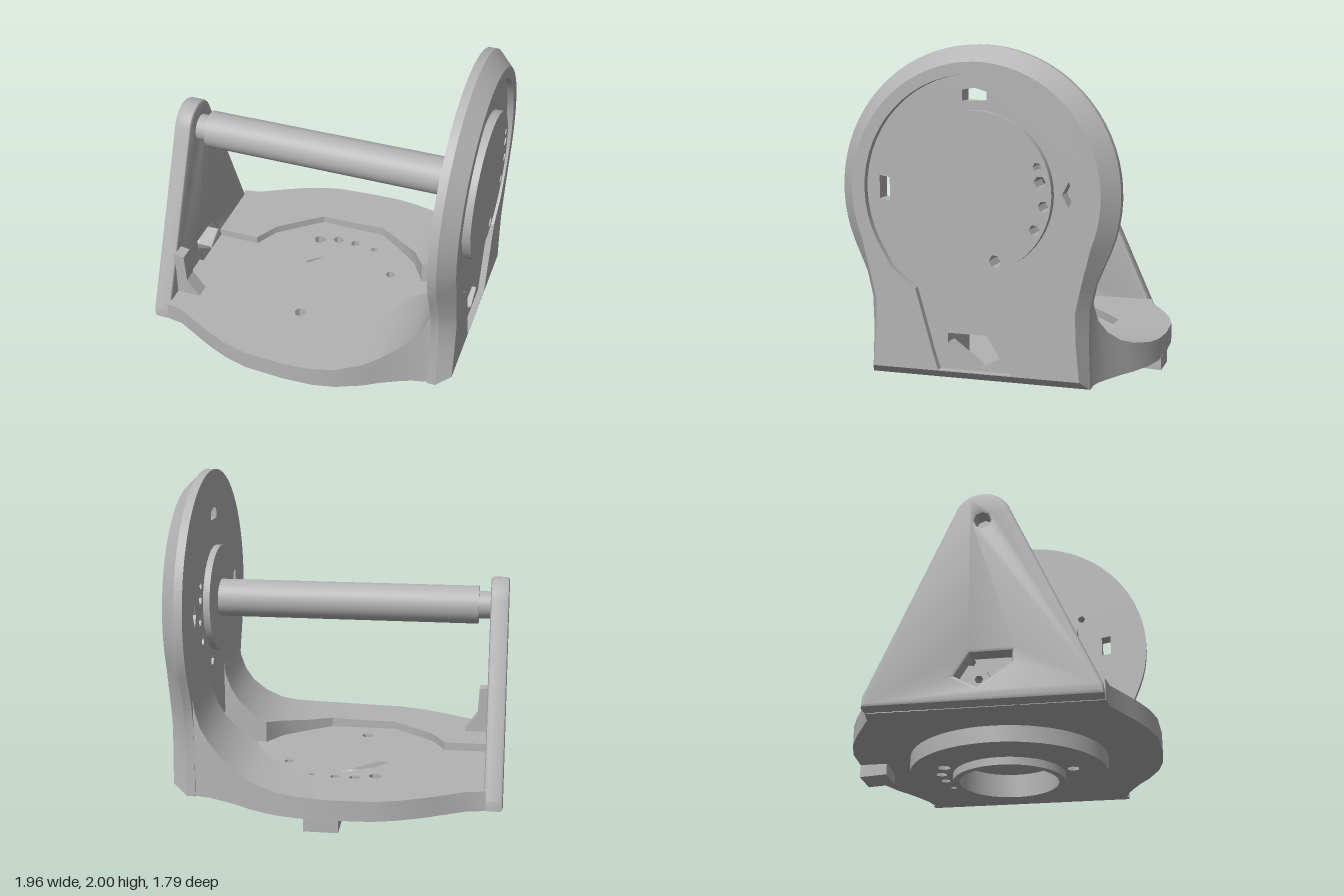
import * as THREE from 'three';
import { toCreasedNormals } from 'three/addons/utils/BufferGeometryUtils.js';

const grey = new THREE.MeshStandardMaterial({ color: 0xb3b3b3 });
grey.name = 'machined grey';

const V = (p) => new THREE.Vector2(p[0], p[1]);

// Regular polygon loop, used for discs and bolt holes
function ring(cx, cy, r, n = 6) {
  return Array.from({ length: n }, (_, i) => {
    const a = (i / n) * Math.PI * 2;
    return [cx + r * Math.cos(a), cy + r * Math.sin(a)];
  });
}

// Right half (bottom to top) completed by its mirror image
function mirrored(half) {
  return [...half, ...half.filter((p) => p[0] > 1e-6).reverse().map(([u, v]) => [-u, v])];
}

// Arc from a start angle up to the top, in degrees
function arc(cy, r, start, n) {
  return Array.from({ length: n + 1 }, (_, i) => {
    const a = THREE.MathUtils.degToRad(start + ((90 - start) * i) / n);
    return [r * Math.cos(a), cy + r * Math.sin(a)];
  });
}

function slab(outline, holes, depth, bevel = 0) {
  const shape = new THREE.Shape(outline.map(V));
  shape.holes = holes.map((h) => new THREE.Path(h.map(V)));
  const geo = new THREE.ExtrudeGeometry(shape, {
    depth: depth - 2 * bevel, bevelEnabled: bevel > 0, bevelThickness: bevel,
    bevelSize: bevel, bevelOffset: -bevel, bevelSegments: 2,
  });
  geo.translate(0, 0, bevel);
  return toCreasedNormals(geo, 0.5);
}

// Skin between closed cross-sections of [x, y, z] points
function loft(rings) {
  const n = rings[0].length, index = [];
  for (let i = 0; i < rings.length - 1; i++) {
    for (let j = 0; j < n; j++) {
      const a = i * n + j, b = i * n + ((j + 1) % n), c = a + n, d = b + n;
      index.push(a, c, b, b, c, d);
    }
  }
  const geo = new THREE.BufferGeometry();
  geo.setAttribute('position', new THREE.Float32BufferAttribute(rings.flat(2), 3));
  geo.setIndex(index);
  return toCreasedNormals(geo, 0.5);
}

export function createModel() {
  const model = new THREE.Group();
  model.name = 'yokeBracket';
  const add = (name, geo) => {
    const m = new THREE.Mesh(geo, grey);
    m.name = name;
    model.add(m);
    return m;
  };
  // Upright slab facing +x, starting at x
  const upright = (name, outline, holes, x, depth, bevel) =>
    add(name, slab(outline, holes, depth, bevel).rotateY(Math.PI / 2).translate(x, 0, 0));
  // Flat slab with its top at y
  const flat = (name, outline, holes, y, depth) =>
    add(name, slab(outline, holes, depth).rotateX(Math.PI / 2).translate(0, y, 0));
  // Cylinder along x
  const bar = (name, r, x0, x1) =>
    add(name, new THREE.CylinderGeometry(r, r, x1 - x0, 40)
      .rotateZ(Math.PI / 2).translate((x0 + x1) / 2, 1.21, 0));

  // Base rails: x, inner z, outer z, top y, with the top sweeping up to the large plate
  const rows = [
    [-0.88, 0.17, 0.64, 0.26], [-0.78, 0.17, 0.655, 0.26], [-0.6, 0.17, 0.75, 0.26],
    [-0.52, 0.32, 0.79, 0.26], [-0.4, 0.42, 0.84, 0.26], [-0.25, 0.54, 0.88, 0.26],
    [0, 0.54, 0.893, 0.262], [0.18, 0.54, 0.885, 0.27], [0.32, 0.44, 0.855, 0.282],
    [0.47, 0.32, 0.79, 0.31], [0.56, 0.17, 0.735, 0.345], [0.66, 0.17, 0.685, 0.41],
    [0.74, 0.17, 0.65, 0.49], [0.79, 0.17, 0.64, 0.57], [0.82, 0.17, 0.63, 0.66],
    [0.836, 0.17, 0.63, 0.78],
  ];
  for (const s of [1, -1]) {
    add(s > 0 ? 'frontBaseRail' : 'backBaseRail', loft(rows.map(([x, zi, zo, top]) => {
      const section = [[x, 0.14, s * zi], [x, 0.14, s * zo], [x, top, s * zo], [x, top, s * zi]];
      return s > 0 ? section : section.reverse();
    })));
  }

  // Recessed base floor with bolt holes and a central slot
  const bolts = [[-0.21, -0.35, 0.04], [-0.09, -0.39, 0.035], [0.03, -0.39, 0.03],
    [0.17, -0.37, 0.02], [0.35, -0.16, 0.03], [-0.08, 0.38, 0.038]]
    .map(([x, z, r]) => ring(x, z, r));
  const slot = [[0, -0.31], [-0.2, -0.2], [-0.27, -0.1], [-0.2, -0.1]];
  const edge = rows.map(([x, zi]) => [x, zi]);
  flat('baseFloor', [...edge, ...edge.map(([x, z]) => [x, -z]).reverse()],
    [...bolts, slot], 0.21, 0.07);

  // Mounting boss and spigot under the base
  const bore = ring(-0.02, 0, 0.29, 40);
  flat('mountingBoss', ring(-0.02, 0, 0.58, 56), [bore, ...bolts], 0.142, 0.097);
  flat('mountingSpigot', ring(-0.02, 0, 0.33, 40), [bore], 0.046, 0.046);

  // Small wedge tab under the back edge
  upright('edgeTab', [[0.73, 0.15], [0.73, 0.075], [0.89, 0.065], [0.89, 0.15]], [], -0.06, 0.2);

  // Cable opening shared by both uprights
  const opening = [[-0.165, 0.41], [-0.165, 0.355], [0.02, 0.22], [0.14, 0.285], [0.06, 0.41]];

  // Tapered arm with rounded top
  upright('taperedArm', mirrored([[0.64, 0.14], [0.635, 0.2], ...arc(1.22, 0.163, 18, 10)]),
    [opening, ring(0, 1.21, 0.045, 8)], -0.98, 0.11, 0.018);

  // Small gusset at the foot of the arm
  add('armGusset', slab([[-0.88, 0.25], [-0.72, 0.26], [-0.8, 0.37], [-0.81, 0.55], [-0.88, 0.56]],
    [], 0.09).translate(0, 0, 0.41));

  // Large round plate: full outline, inset rim and recess
  const outer = mirrored([[0.64, 0.14], [0.63, 0.4], [0.635, 0.58], [0.665, 0.72],
    ...arc(1.2, 0.8, -22, 22)]);
  const inset = mirrored([[0.6, 0.2], [0.58, 0.4], [0.575, 0.58], [0.605, 0.72],
    ...arc(1.2, 0.71, -22, 22)]);
  const recess = mirrored([[0.21, 0.205], [0.24, 0.3], [0.34, 0.66], [0.48, 0.77],
    ...arc(1.21, 0.635, -27, 18)]);
  const plateBolts = [[0.38, 1.28, 0.033], [0.4, 1.15, 0.03], [0.35, 1.02, 0.03],
    [0.365, 1.36, 0.024], [0.13, 0.84, 0.036], [-0.365, 1.42, 0.025]]
    .map(([u, v, r]) => ring(u, v, r));
  const plateHoles = [
    ...plateBolts, opening,
    [[-0.07, 1.7], [0.07, 1.7], [0.07, 1.75], [0, 1.77], [-0.07, 1.76]],
    [[0.49, 1.21], [0.525, 1.14], [0.56, 1.21], [0.525, 1.28]],
    [[-0.56, 1.15], [-0.5, 1.14], [-0.5, 1.27], [-0.56, 1.28]],
  ];
  upright('largePlate', outer, plateHoles, 0.83, 0.05);
  upright('largePlateRecess', recess, plateHoles, 0.88, 0.05);
  upright('largePlateRim', inset, [recess], 0.88, 0.09);
  const loop = (pts, x) => pts.map(([u, v]) => [x, v, -u]).reverse();
  add('largePlateChamfer', loft([loop(outer, 0.88), loop(inset, 0.97)]));

  // Raised cover disc outside and hub inside
  upright('coverDisc', ring(0, 1.207, 0.445, 56), plateBolts, 0.93, 0.05);
  bar('innerHub', 0.325, 0.79, 0.835);

  // Cross shaft with a narrower neck at the arm
  bar('crossShaft', 0.115, -0.8, 0.8);
  bar('shaftNeck', 0.083, -0.875, -0.79);

  return model;
}
